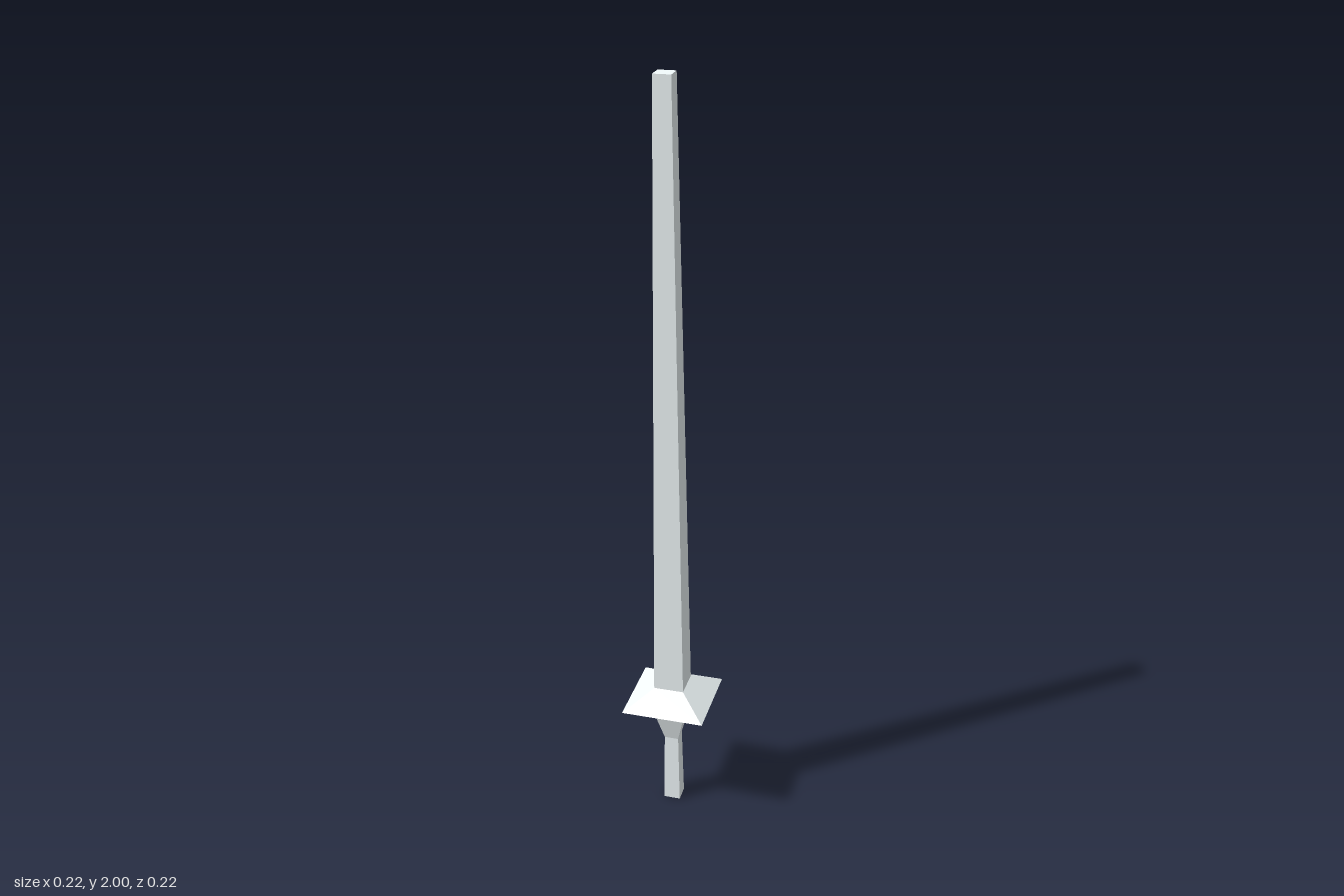
import * as THREE from 'three';

const material = new THREE.MeshStandardMaterial({ color: 0xf2fafc, flatShading: true });

// Square-section part from [halfWidth, y] rings, listed bottom to top
function squarePart(name, rings) {
  const points = rings.map(([half, y]) => new THREE.Vector2(half * Math.SQRT2, y));
  const mesh = new THREE.Mesh(new THREE.LatheGeometry(points, 4, Math.PI / 4), material);
  mesh.name = name;
  return mesh;
}

export function createModel() {
  const sword = new THREE.Group();
  sword.name = 'sword';

  // Grip with closed end, flaring up into the collar below the guard
  sword.add(squarePart('grip', [[0, 0], [0.0225, 0], [0.019, 0.203]]));
  sword.add(squarePart('collar', [[0.019, 0.203], [0.04, 0.288]]));

  // Diamond-profiled cross guard
  sword.add(squarePart('guard', [[0.04, 0.288], [0.11, 0.331], [0.04, 0.377]]));

  // Long tapering blade with a blunt tip
  sword.add(squarePart('blade', [[0.04, 0.377], [0.022, 2], [0, 2]]));

  // The whole sword leans slightly forward
  sword.rotation.x = 0.041;
  sword.position.set(0, 0.0009, -0.0135);

  const model = new THREE.Group();
  model.name = 'model';
  model.add(sword);
  return model;
}
